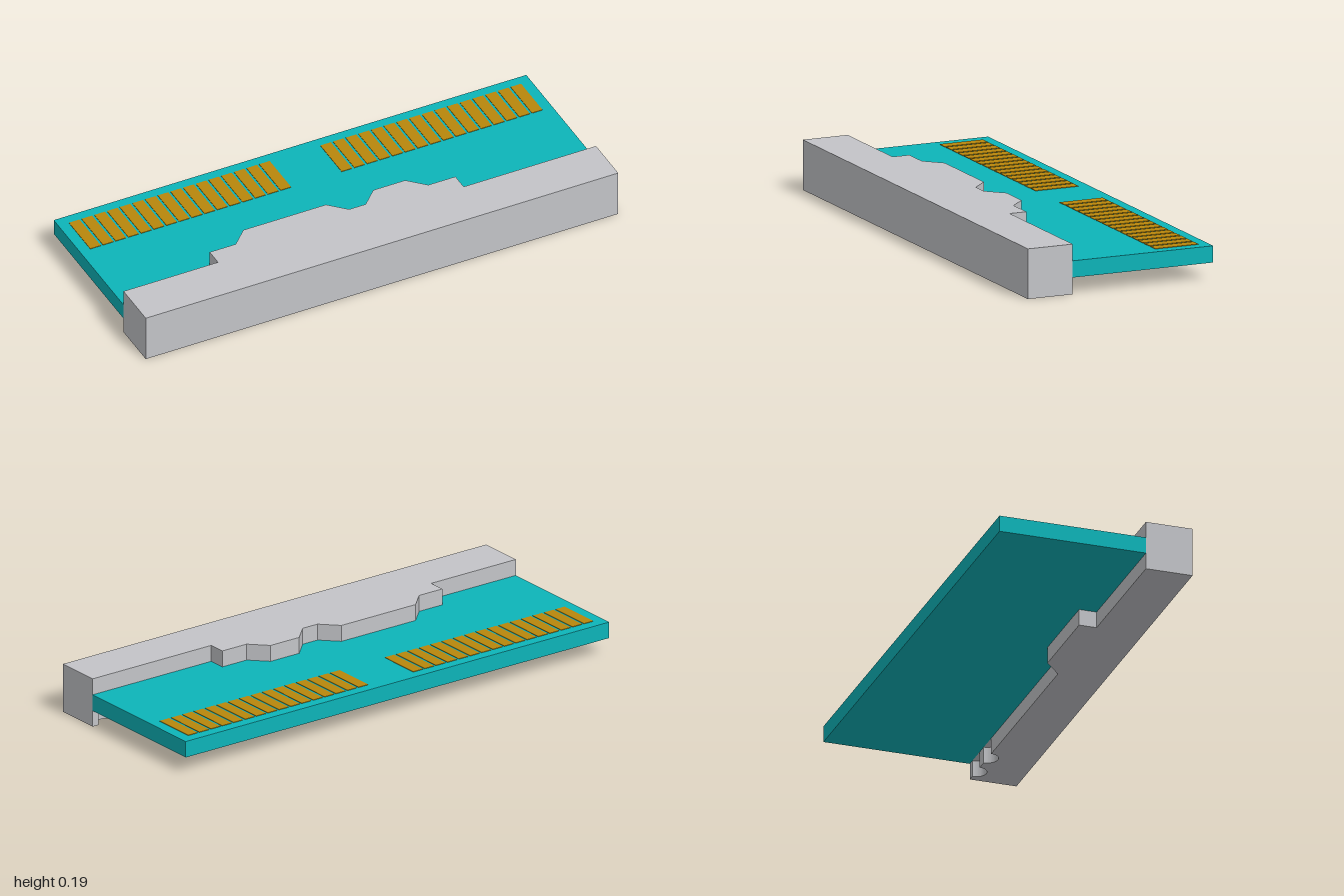
import * as THREE from 'three';

const BACK = 0.2, FRONT = 0.387, LAYER = 0.065;

function material(name, color) {
  const m = new THREE.MeshStandardMaterial({ color });
  m.name = name;
  return m;
}

// Extrudes a plan outline (x, z) downwards from the given top height.
function slab(name, shape, top, height, mat) {
  const geo = new THREE.ExtrudeGeometry(shape, { depth: height, bevelEnabled: false, curveSegments: 12 });
  geo.rotateX(Math.PI / 2);
  geo.translate(0, top, 0);
  const mesh = new THREE.Mesh(geo, mat);
  mesh.name = name;
  return mesh;
}

function box(name, x0, x1, y0, y1, z0, z1, mat) {
  const mesh = new THREE.Mesh(new THREE.BoxGeometry(x1 - x0, y1 - y0, z1 - z0), mat);
  mesh.position.set((x0 + x1) / 2, (y0 + y1) / 2, (z0 + z1) / 2);
  mesh.name = name;
  return mesh;
}

export function createModel() {
  const grey = material('housing grey', 0xc3c4c8);
  const teal = material('board teal', 0x0db4b9);
  const gold = material('contact gold', 0xb8860b);
  const model = new THREE.Group();
  model.name = 'edgeBoard';

  // Circuit board
  model.add(box('board', -1, 1, LAYER, 2 * LAYER, -0.387, BACK, teal));

  // Housing: middle bar, stepped upper lip, lower lip
  const housing = new THREE.Group();
  housing.name = 'housing';
  housing.add(box('housingMiddle', -1, 1, LAYER, 2 * LAYER, BACK, FRONT, grey));

  const upper = new THREE.Shape([
    [-1, FRONT], [-1, BACK], [-0.6, BACK], [-0.6, 0.13], [-0.49, 0.13], [-0.425, 0.065],
    [-0.075, 0.065], [-0.01, 0.13], [0.06, 0.13], [0.125, 0.065], [0.26, 0.065],
    [0.325, 0.13], [0.44, 0.13], [0.44, BACK], [1, BACK], [1, FRONT],
  ].map(([x, z]) => new THREE.Vector2(x, z)));
  housing.add(slab('upperLip', upper, 3 * LAYER, LAYER, grey));

  // Lower lip with a chamfered tab and two round notches
  const lower = new THREE.Shape();
  lower.moveTo(-1, FRONT);
  lower.lineTo(-1, BACK);
  lower.lineTo(-0.44, BACK);
  lower.lineTo(-0.44, 0.13);
  lower.lineTo(-0.08, 0.13);
  lower.lineTo(0, BACK);
  for (const x of [0.8, 0.93]) {
    lower.lineTo(x - 0.042, BACK);
    lower.absarc(x, BACK, 0.042, Math.PI, 0, true);
  }
  lower.lineTo(1, BACK);
  lower.lineTo(1, FRONT);
  housing.add(slab('lowerLip', lower, LAYER, LAYER, grey));
  model.add(housing);

  // Two rows of sixteen contact pads
  const pads = new THREE.Group();
  pads.name = 'contactPads';
  for (const start of [-0.957, 0.107]) {
    for (let i = 0; i < 16; i++) {
      const x = start + i * 0.0537;
      pads.add(box('contactPad', x, x + 0.0445, 2 * LAYER, 2 * LAYER + 0.002, -0.345, -0.165, gold));
    }
  }
  model.add(pads);
  return model;
}
